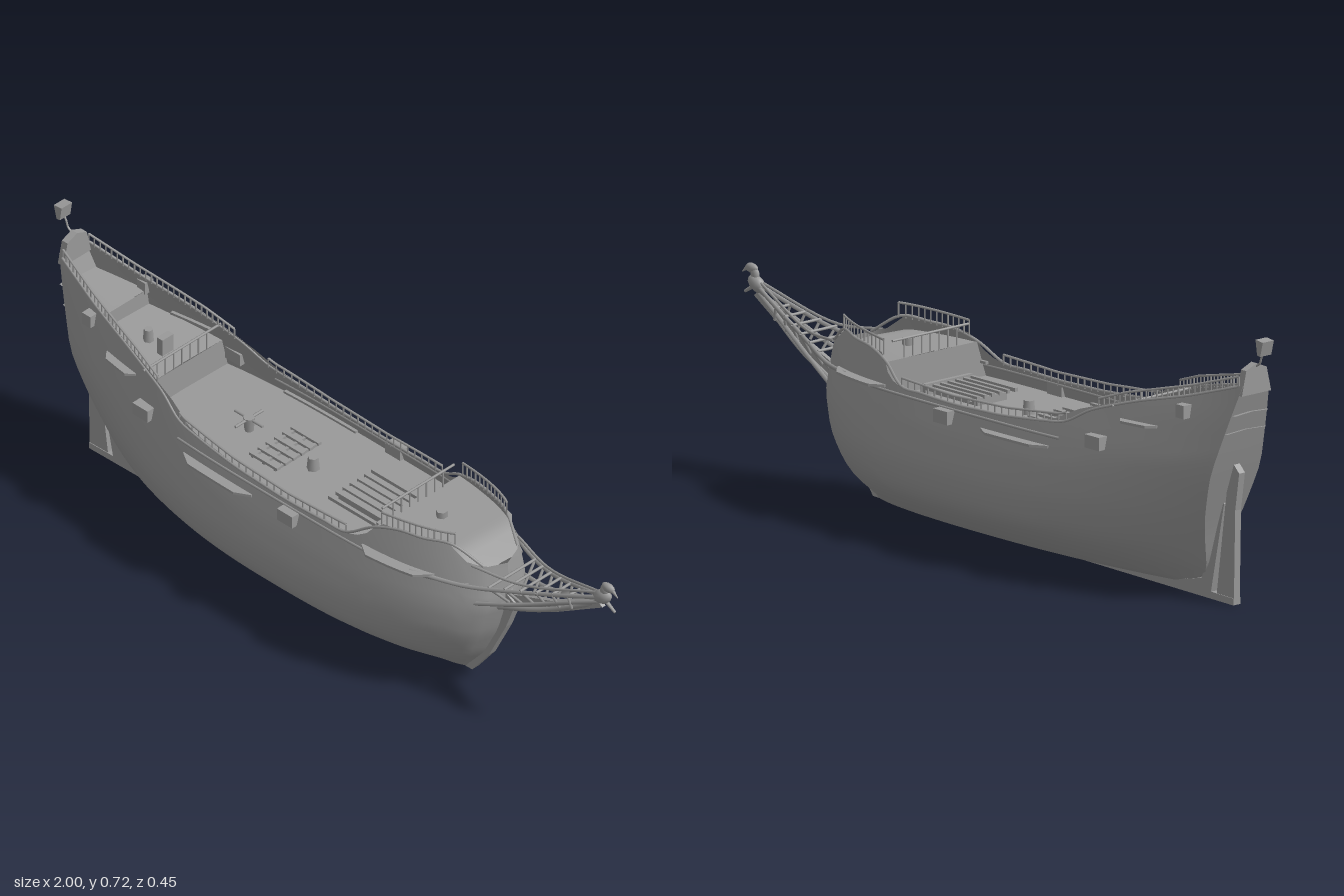
import * as THREE from 'three';

const V = (x, y, z) => new THREE.Vector3(x, y, z);

// piecewise-linear lookup through [position, value] pairs
const lookup = (t) => (k) => {
  if (k <= t[0][0]) return t[0][1];
  for (let i = 1; i < t.length; i++) {
    const [a, b] = [t[i - 1], t[i]];
    if (k <= b[0]) return a[1] + (b[1] - a[1]) * (k - a[0]) / (b[0] - a[0]);
  }
  return t[t.length - 1][1];
};

// hull lines: sheer height by x, end profiles and greatest half width by y
const sheer = lookup([[-0.96, 0.6], [-0.8, 0.55], [-0.6, 0.5], [-0.47, 0.455], [-0.4, 0.415], [-0.2, 0.395],
  [0, 0.388], [0.2, 0.395], [0.24, 0.41], [0.3, 0.46], [0.51, 0.475], [0.55, 0.435], [0.61, 0.415]]);
const sternX = lookup([[0.03, -0.71], [0.06, -0.77], [0.1, -0.79], [0.2, -0.82], [0.37, -0.88], [0.6, -0.955]]);
const bowX = lookup([[0.03, 0.48], [0.1, 0.535], [0.2, 0.585], [0.3, 0.615], [0.42, 0.605], [0.5, 0.58]]);
const beam = lookup([[0.025, 0.065], [0.05, 0.115], [0.08, 0.16], [0.11, 0.193], [0.14, 0.214], [0.18, 0.222],
  [0.225, 0.225], [0.3, 0.207], [0.4, 0.176], [0.5, 0.142], [0.6, 0.1]]);

const fullness = (u, y) => {
  if (u > 0.55) {
    const s = Math.min(1, (u - 0.55) / 0.45);
    return Math.sqrt(Math.max(0, 1 - Math.pow(s, 2.2 + 2 * Math.min(1, y / 0.35))));
  }
  const s = Math.min(1, (0.55 - u) / 0.55);
  return 1 - (1 - 0.45 * Math.min(1, y / 0.36)) * Math.pow(s, 2 + Math.min(1, y / 0.3));
};
const halfAt = (x, y) => beam(y) * fullness((x - sternX(y)) / (bowX(y) - sternX(y)), y);

export function createModel() {
  const ship = new THREE.Group();
  ship.name = 'sailingShip';
  const grey = new THREE.MeshStandardMaterial({ color: 0x999999, side: THREE.DoubleSide });
  grey.name = 'grey';

  const add = (name, geo) => {
    const m = new THREE.Mesh(geo, grey);
    m.name = name;
    ship.add(m);
    return m;
  };
  const box = (name, w, h, d, x, y, z) => {
    const m = add(name, new THREE.BoxGeometry(w, h, d));
    m.position.set(x, y, z);
    return m;
  };
  const rod = (name, a, b, r, r2 = r) => {
    const m = add(name, new THREE.CylinderGeometry(r2, r, a.distanceTo(b), 6));
    m.position.copy(a).lerp(b, 0.5);
    m.quaternion.setFromUnitVectors(V(0, 1, 0), b.clone().sub(a).normalize());
    return m;
  };
  const tube = (name, pts, r) =>
    add(name, new THREE.TubeGeometry(new THREE.CatmullRomCurve3(pts), pts.length * 4, r, 5));
  const plate = (name, pts, depth) => {
    const g = new THREE.ExtrudeGeometry(new THREE.Shape(pts.map((p) => new THREE.Vector2(...p))),
      { depth, bevelEnabled: false });
    g.translate(0, 0, -depth / 2);
    return add(name, g);
  };
  // surface through rows of points
  const loft = (name, rows) => {
    const n = rows[0].length, index = [];
    for (let i = 0; i + 1 < rows.length; i++) for (let j = 0; j + 1 < n; j++) {
      const a = i * n + j, b = a + n;
      index.push(a, b, a + 1, b, b + 1, a + 1);
    }
    const g = new THREE.BufferGeometry();
    g.setAttribute('position', new THREE.Float32BufferAttribute(rows.flat().flatMap((p) => p.toArray()), 3));
    g.setIndex(index);
    g.computeVertexNormals();
    return add(name, g);
  };

  // hull skin, lofted from stern to bow
  const rows = [], levels = 16, stations = 56;
  for (let i = 0; i <= stations; i++) {
    const t = i / stations, u = 0.6 * t + 0.4 * (1 - Math.cos(Math.PI * t)) / 2;
    const top = sheer(-0.955 + 1.56 * u), side = [];
    for (let j = 0; j <= levels; j++) {
      const v = j / levels, y = 0.025 + (top - 0.025) * Math.pow(v, 1.25);
      side.push(V(sternX(y) + (bowX(y) - sternX(y)) * u, y, beam(y) * fullness(u, y)));
    }
    const mirror = side.map((p) => V(p.x, p.y, -p.z)).reverse();
    rows.push([...mirror, V(side[0].x, 0.025, 0), ...side]);
  }
  loft('hull', rows);
  const end = rows[0], last = end.length - 1;
  loft('transom', Array.from({ length: levels + 1 }, (_, j) => [end[j], end[last - j]]));

  // keel, stem and rudder
  plate('keelAndStem', [[-0.88, 0], [0.49, 0.022], [0.55, 0.1], [0.61, 0.22], [0.645, 0.31], [0.61, 0.33],
    [0.58, 0.2], [0.47, 0.04], [-0.7, 0.035], [-0.76, 0.05], [-0.83, 0.27], [-0.845, 0.26], [-0.795, 0.02],
    [-0.88, 0.018]], 0.024);
  plate('rudder', [[-0.88, 0.004], [-0.885, 0.25], [-0.9, 0.35], [-0.88, 0.37], [-0.86, 0.34], [-0.845, 0.24],
    [-0.815, 0.02]], 0.02);

  // decks and bulkheads
  const deck = (name, x0, x1, yAt) => {
    const r = [];
    for (let i = 0; i <= 16; i++) {
      const x = x0 + (x1 - x0) * i / 16, y = yAt(x), h = halfAt(x, y) - 0.002;
      r.push([V(x, y, -h), V(x, y + 0.004, 0), V(x, y, h)]);
    }
    return loft(name, r);
  };
  const bulkhead = (name, x, y0, y1) => loft(name, [y0, y1].map((y) => {
    const h = halfAt(x, y) - 0.002;
    return [V(x, y, -h), V(x, y, h)];
  }));
  deck('mainDeck', -0.57, 0.3, () => 0.345);
  deck('quarterDeck', -0.92, -0.56, (x) => 0.43 - 0.1 * (x + 0.56));
  deck('poopDeck', -0.94, -0.78, (x) => 0.5 - 0.1 * (x + 0.78));
  deck('forecastleDeck', 0.28, 0.585, (x) => (x < 0.5 ? 0.438 : 0.438 - 0.4 * (x - 0.5)));
  bulkhead('quarterBulkhead', -0.56, 0.345, 0.43);
  bulkhead('poopBulkhead', -0.78, 0.452, 0.5);
  bulkhead('forecastleBulkhead', 0.28, 0.345, 0.44);

  // hatch gratings and deck fittings
  for (let i = 0; i < 6; i++) box('aftGratingBar', 0.1, 0.008, 0.012, -0.19, 0.36, -0.075 + i * 0.03);
  for (let i = 0; i < 3; i++) box('aftGratingCrossbar', 0.008, 0.008, 0.16, -0.23 + i * 0.04, 0.355, 0);
  box('mainHatch', 0.16, 0.02, 0.1, 0.13, 0.36, 0);
  for (let i = 0; i < 7; i++) box('mainHatchBar', 0.17, 0.01, 0.01, 0.13, 0.372, -0.078 + i * 0.026);
  box('hatchEnd', 0.012, 0.03, 0.16, 0.22, 0.366, 0);
  rod('mainMastStep', V(-0.09, 0.345, 0), V(-0.09, 0.385, 0), 0.018, 0.014);
  rod('capstan', V(-0.32, 0.345, 0), V(-0.32, 0.39, 0), 0.012, 0.016);
  rod('capstanBar', V(-0.32, 0.385, -0.05), V(-0.32, 0.385, 0.05), 0.004);
  rod('capstanBar', V(-0.37, 0.385, 0), V(-0.27, 0.385, 0), 0.004);
  rod('mizzenMastStep', V(-0.68, 0.44, 0), V(-0.68, 0.48, 0), 0.015, 0.012);
  rod('foreMastStep', V(0.37, 0.438, 0), V(0.37, 0.46, 0), 0.016);
  box('steeringStand', 0.02, 0.05, 0.04, -0.62, 0.465, 0);

  // railings on the sheer, mirrored
  const railing = (name, x0, x1, h, n) => {
    for (const s of [-1, 1]) {
      const at = (x, dy) => V(x, sheer(x) + dy, s * (halfAt(x, sheer(x)) - 0.002));
      const pts = [];
      for (let i = 0; i <= n; i++) {
        const x = x0 + (x1 - x0) * i / n;
        pts.push(at(x, h));
        rod(name + 'Post', at(x, -0.005), at(x, h), 0.0022);
      }
      tube(name + 'Rail', pts, 0.0035);
    }
  };
  railing('quarter', -0.94, -0.51, 0.026, 26);
  railing('waist', -0.41, 0.2, 0.022, 24);
  railing('forecastle', 0.3, 0.51, 0.034, 12);
  for (let i = 0; i < 7; i++) {
    const z = -0.09 + i * 0.03;
    rod('breastPost', V(0.285, 0.438, z), V(0.285, 0.49, z), 0.0022);
    rod('quarterBreastPost', V(-0.56, 0.43, z), V(-0.56, 0.485, z), 0.0022);
  }
  rod('breastRail', V(0.285, 0.49, -0.13), V(0.285, 0.49, 0.13), 0.0035);
  rod('quarterBreastRail', V(-0.56, 0.485, -0.14), V(-0.56, 0.485, 0.14), 0.0035);

  // channels, port lids and wales on both sides
  for (const s of [-1, 1]) {
    const channel = (x0, x1, y, out) => {
      const inner = [], outer = [];
      for (let i = 0; i <= 6; i++) {
        const x = x0 + (x1 - x0) * i / 6, h = halfAt(x, y);
        inner.push([x, h - 0.01]);
        outer.unshift([x, h + out * Math.min(1, 4 * Math.sin(Math.PI * i / 6) + 0.1)]);
      }
      const m = plate('channel', [...inner, ...outer], 0.007);
      m.rotation.x = s * Math.PI / 2;
      m.position.y = y;
    };
    channel(-0.71, -0.59, 0.455, 0.022);
    channel(-0.37, -0.12, 0.348, 0.026);
    channel(0.26, 0.48, 0.385, 0.03);
    const wale = (x0, x1, y) => tube('wale', Array.from({ length: 11 }, (_, i) => {
      const x = x0 + (x1 - x0) * i / 10;
      return V(x, y, s * halfAt(x, y));
    }), 0.004);
    wale(-0.4, 0.56, 0.375);
    for (const [x, y] of [[-0.53, 0.39], [0.015, 0.357], [-0.79, 0.51]])
      box('portLid', x < -0.7 ? 0.03 : 0.055, 0.035, 0.03, x, y, s * (halfAt(x, y) + 0.006));
    tube('sheerRail', Array.from({ length: 21 }, (_, i) => {
      const x = -0.94 + 1.52 * i / 20;
      return V(x, sheer(x), s * halfAt(x, sheer(x)));
    }), 0.004);

    // beakhead rails sweeping forward to the figurehead
    tube('upperHeadRail', [V(0.42, 0.385, s * 0.168), V(0.56, 0.378, s * 0.11), V(0.7, 0.405, s * 0.058),
      V(0.84, 0.45, s * 0.025), V(0.96, 0.495, 0)], 0.006);
    tube('middleHeadRail', [V(0.55, 0.31, s * 0.095), V(0.7, 0.36, s * 0.05), V(0.84, 0.425, s * 0.02),
      V(0.94, 0.47, 0)], 0.006);
    tube('lowerHeadRail', [V(0.6, 0.29, s * 0.03), V(0.75, 0.355, s * 0.02), V(0.92, 0.455, 0)], 0.007);
    tube('topHeadRail', [V(0.56, 0.43, s * 0.085), V(0.7, 0.425, s * 0.05), V(0.94, 0.5, 0)], 0.004);
    for (let i = 0; i < 6; i++) {
      const x = 0.62 + i * 0.045, w = 0.085 - i * 0.012;
      rod('headTimber', V(x, 0.39 + i * 0.012, s * w), V(x + 0.01, 0.315 + i * 0.02, s * 0.02), 0.004);
    }
  }
  for (let i = 0; i < 6; i++) {
    const x = 0.62 + i * 0.045, w = 0.085 - i * 0.012;
    rod('headBeam', V(x, 0.39 + i * 0.012, -w), V(x, 0.39 + i * 0.012, w), 0.004);
  }
  plate('cutwater', [[0.6, 0.26], [0.65, 0.29], [0.78, 0.355], [0.95, 0.46], [0.93, 0.475], [0.77, 0.385],
    [0.6, 0.32]], 0.012);

  // bird figurehead
  const blob = (name, x, y, sx, sy, sz, tilt) => {
    const m = add(name, new THREE.SphereGeometry(1, 10, 8));
    m.scale.set(sx, sy, sz);
    m.position.set(x, y, 0);
    m.rotation.z = tilt;
  };
  blob('figureBody', 0.945, 0.49, 0.032, 0.02, 0.017, 0.5);
  blob('figureNeck', 0.952, 0.512, 0.014, 0.022, 0.01, -0.2);
  blob('figureHead', 0.965, 0.528, 0.022, 0.013, 0.011, 0);
  rod('figureBeak', V(0.975, 0.53, 0), V(1, 0.512, 0), 0.008, 0.001);
  rod('figureClaw', V(0.96, 0.48, 0), V(0.99, 0.462, 0), 0.006, 0.004);

  // taffrail, staff and pennant at the stern
  const crest = plate('taffrail', [[-0.05, 0.57], [0.05, 0.57], [0.035, 0.635], [0, 0.65], [-0.035, 0.635]], 0.02);
  crest.rotation.y = Math.PI / 2;
  crest.position.x = -0.945;
  tube('pennantStaff', [V(-0.95, 0.64, 0), V(-0.968, 0.652, 0), V(-0.974, 0.668, 0), V(-0.984, 0.685, 0)], 0.003);
  plate('lantern', [[-0.99, 0.676], [-0.978, 0.678], [-0.972, 0.718], [-1, 0.715]], 0.038);

  return ship;
}
